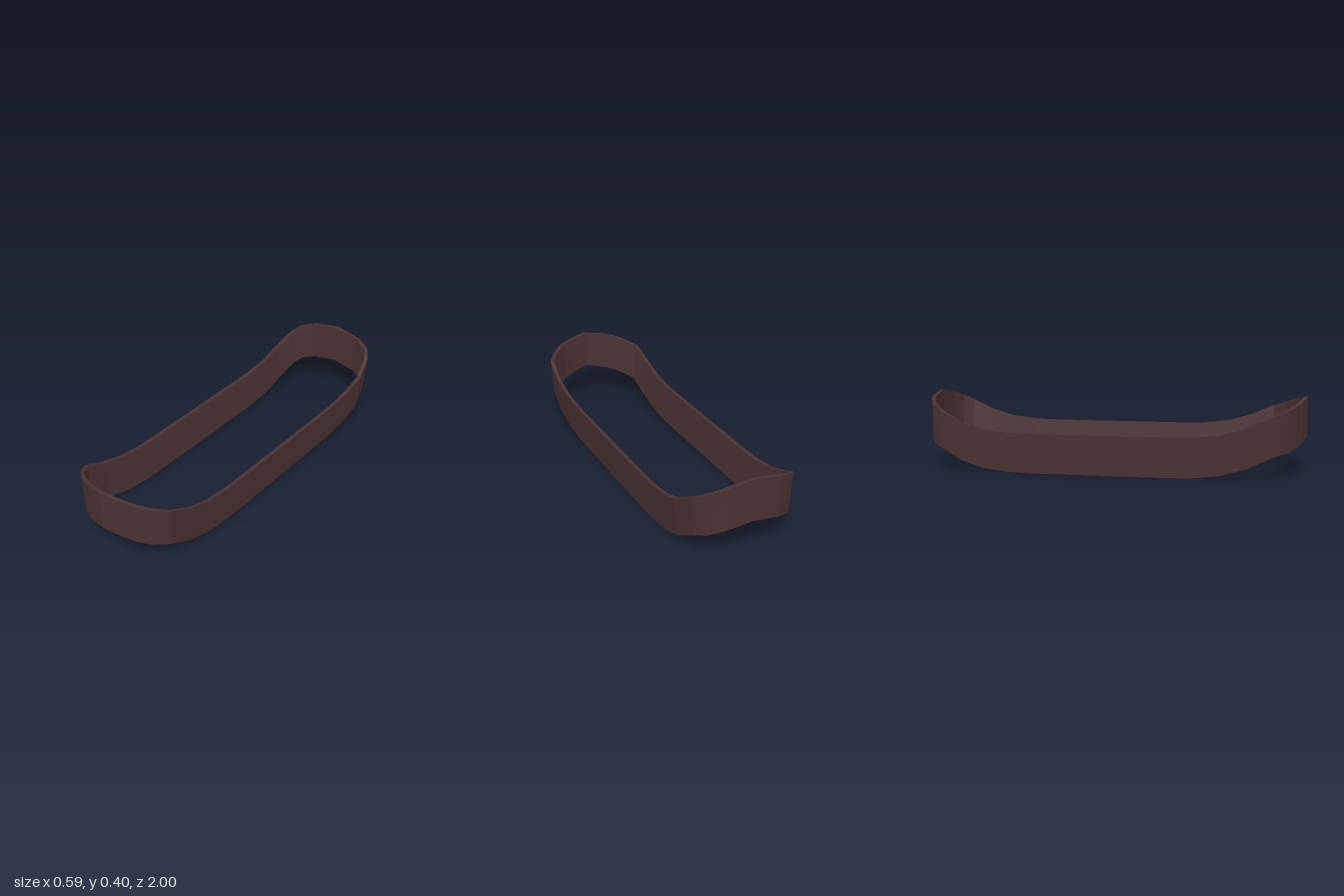
import * as THREE from 'three';

// Half of the band, front to back: [x at top, z, bottom y, top y]
const HALF = [
  [0, 1.0, 0.19, 0.4],
  [0.105, 0.975, 0.172, 0.383],
  [0.175, 0.945, 0.155, 0.369],
  [0.235, 0.9, 0.135, 0.348],
  [0.285, 0.83, 0.117, 0.323],
  [0.297, 0.7, 0.058, 0.265],
  [0.297, 0.57, 0.02, 0.228],
  [0.297, 0.43, 0.003, 0.211],
  [0.297, 0.3, 0, 0.209],
  [0.297, -0.4, 0, 0.209],
  [0.297, -0.53, 0.004, 0.212],
  [0.297, -0.67, 0.021, 0.229],
  [0.297, -0.79, 0.06, 0.265],
  [0.27, -0.9, 0.117, 0.322],
  [0.235, -0.955, 0.138, 0.35],
  [0.15, -0.992, 0.16, 0.377],
  [0, -1.0, 0.18, 0.4],
];
const LEAN = 0.94; // the band is a little narrower at its bottom edge
const THICKNESS = 0.02;

// Full closed loop, mirrored across x
function stations() {
  const mirrored = HALF.slice(1, -1).reverse().map(([x, ...rest]) => [-x, ...rest]);
  return [...HALF, ...mirrored];
}

// Strip of quads joining two closed rings
function strip(a, b, material, name) {
  const pos = [];
  a.forEach((p, i) => {
    const j = (i + 1) % a.length;
    for (const v of [p, a[j], b[j], p, b[j], b[i]]) pos.push(v.x, v.y, v.z);
  });
  const geo = new THREE.BufferGeometry();
  geo.setAttribute('position', new THREE.Float32BufferAttribute(pos, 3));
  geo.computeVertexNormals();
  const mesh = new THREE.Mesh(geo, material);
  mesh.name = name;
  return mesh;
}

export function createModel() {
  const group = new THREE.Group();
  group.name = 'curvedBand';
  const darkBrown = new THREE.MeshStandardMaterial({
    color: 0x4a3233, flatShading: true, side: THREE.DoubleSide,
  });
  darkBrown.name = 'darkBrown';

  const loop = stations();
  const n = loop.length;
  const outerTop = [], outerBottom = [], innerTop = [], innerBottom = [];
  loop.forEach(([x, z, y0, y1], i) => {
    // Inward direction in plan, from the neighbouring stations
    const prev = loop[(i + n - 1) % n], next = loop[(i + 1) % n];
    const dir = new THREE.Vector2(next[0] - prev[0], next[1] - prev[1]).normalize();
    const dx = dir.y * THICKNESS, dz = -dir.x * THICKNESS;
    outerTop.push(new THREE.Vector3(x, y1, z));
    outerBottom.push(new THREE.Vector3(x * LEAN, y0, z));
    innerTop.push(new THREE.Vector3(x + dx, y1, z + dz));
    innerBottom.push(new THREE.Vector3(x * LEAN + dx, y0, z + dz));
  });

  // Two walls and the top rim; the underside is open
  group.add(
    strip(outerBottom, outerTop, darkBrown, 'outerWall'),
    strip(innerTop, innerBottom, darkBrown, 'innerWall'),
    strip(outerTop, innerTop, darkBrown, 'topRim'),
  );
  return group;
}
